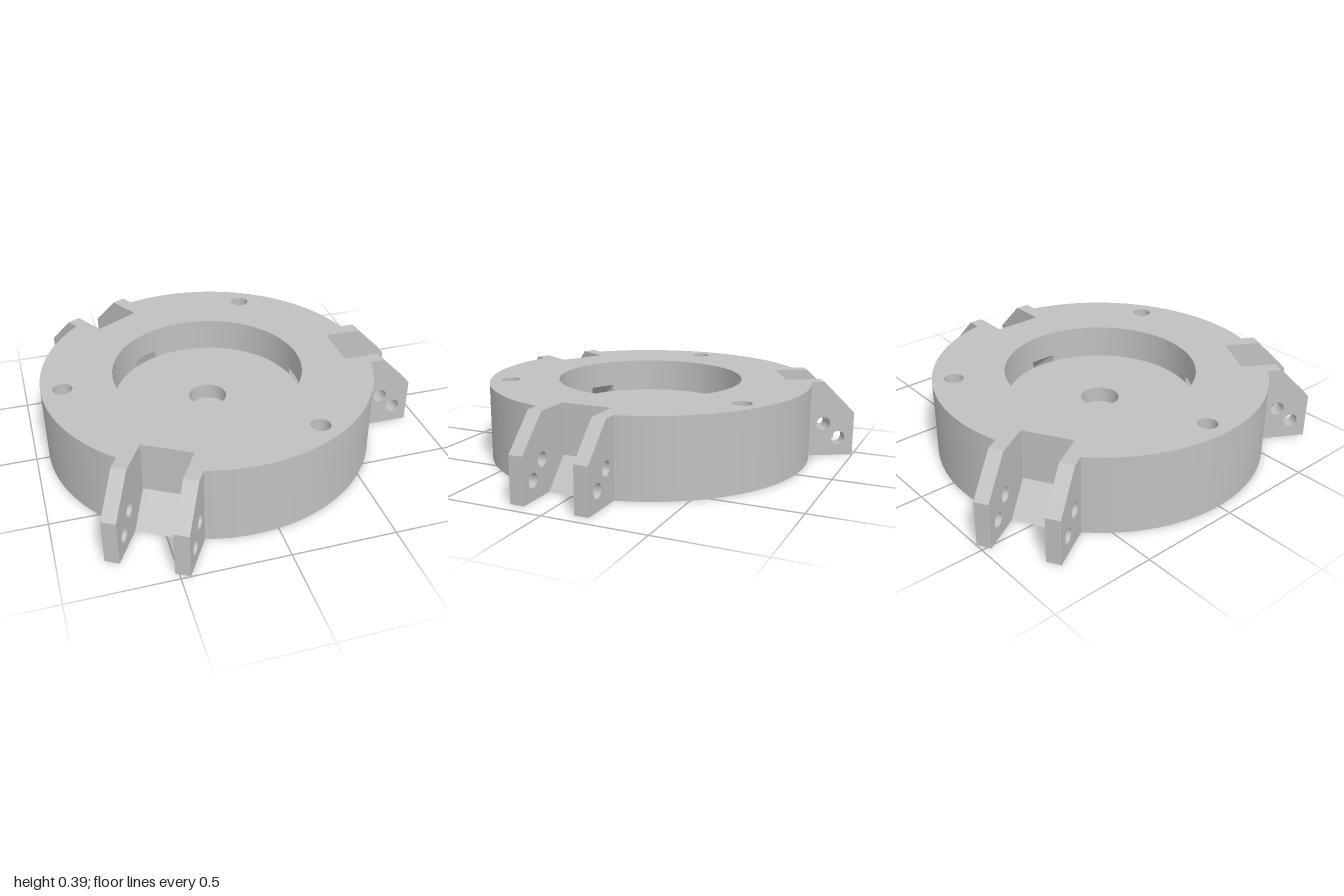
import * as THREE from 'three';
import { toCreasedNormals } from 'three/addons/utils/BufferGeometryUtils.js';

const H = 0.39, R = 0.83, RECESS = 0.475, FLOOR = 0.22;
const SLOT = 0.125;      // half width of the gap between two lugs
const CHANNEL = 0.07;    // half width of the slanted channel
const THIRD = Math.PI * 2 / 3;

const grey = new THREE.MeshStandardMaterial({ color: 0xc0c0c0 });
grey.name = 'grey';

function addMesh(parent, name, geometry) {
  const mesh = new THREE.Mesh(toCreasedNormals(geometry, 0.5), grey);
  mesh.name = name;
  parent.add(mesh);
}

function extrude(shape, depth, steps = 1) {
  return new THREE.ExtrudeGeometry(shape, { depth, steps, bevelEnabled: false, curveSegments: 40 });
}

function polygon(points) {
  return new THREE.Shape(points.map(([x, y]) => new THREE.Vector2(x, y)));
}

function circleHole(x, y, r) {
  return new THREE.Path().absarc(x, y, r, 0, Math.PI * 2, true);
}

// Radial profile swept sideways, its inner edge bent to follow the recess wall
function block(points, from, to) {
  const geometry = extrude(polygon(points), to - from, 6).translate(0, 0, from);
  const p = geometry.attributes.position;
  for (let i = 0; i < p.count; i++) {
    if (Math.abs(p.getX(i) - RECESS) < 1e-4) {
      p.setX(i, Math.sqrt(RECESS ** 2 - p.getZ(i) ** 2));
    }
  }
  return geometry;
}

// Ring segment between two brackets, with a blind screw hole
function makeSegment() {
  const segment = new THREE.Group();
  segment.name = 'ringSegment';
  const a = Math.asin(SLOT / R), b = Math.asin(SLOT / RECESS);
  const shape = new THREE.Shape();
  shape.absarc(0, 0, R, a, THIRD - a, false);
  shape.absarc(0, 0, RECESS, THIRD - b, b, true);
  shape.closePath();
  const hx = 0.725 * Math.cos(THIRD / 2), hy = 0.725 * Math.sin(THIRD / 2);
  shape.holes.push(circleHole(hx, hy, 0.047));
  addMesh(segment, 'ringWall', extrude(shape, H).rotateX(-Math.PI / 2));
  addMesh(segment, 'screwHoleBottom',
    new THREE.CylinderGeometry(0.047, 0.047, 0.19, 40).translate(hx, 0.095, -hy));
  return segment;
}

// Bracket: notched wall with a slanted channel, and two pierced lugs
function makeBracket() {
  const bracket = new THREE.Group();
  bracket.name = 'bracket';
  const outer = [[0.83, 0], [0.695, 0.14], [0.695, H], [RECESS, H]];
  const full = [[RECESS, 0], ...outer];
  addMesh(bracket, 'notchSide', block(full, -SLOT, -CHANNEL));
  addMesh(bracket, 'notchSide', block(full, CHANNEL, SLOT));
  addMesh(bracket, 'channelRoof', block([[RECESS, 0.255], [0.805, 0], ...outer], -CHANNEL, CHANNEL));
  addMesh(bracket, 'channelFloor', block([[RECESS, 0], [0.755, 0], [RECESS, FLOOR]], -CHANNEL, CHANNEL));

  const lug = polygon([[0.8, 0], [1.04, 0], [1.04, 0.225], [0.875, H], [0.8, H]]);
  lug.holes.push(circleHole(0.88, 0.17, 0.035), circleHole(0.96, 0.093, 0.035));
  for (const z of [SLOT, -SLOT - 0.07]) {
    addMesh(bracket, 'lug', extrude(lug, 0.07).translate(0, 0, z));
  }
  return bracket;
}

export function createModel() {
  const model = new THREE.Group();
  model.name = 'roundHousing';
  const body = new THREE.Group();
  body.name = 'body';
  body.position.x = -0.105;
  model.add(body);

  // Recess floor with a shallow centre hole
  const profile = [[0, 0], [RECESS, 0], [RECESS, FLOOR], [0.095, FLOOR], [0.095, 0.14], [0, 0.14]];
  addMesh(body, 'recessFloor',
    new THREE.LatheGeometry(profile.map(([x, y]) => new THREE.Vector2(x, y)), 96));

  for (let i = 0; i < 3; i++) {
    for (const part of [makeSegment(), makeBracket()]) {
      part.rotation.y = i * THIRD;
      body.add(part);
    }
  }
  return model;
}
